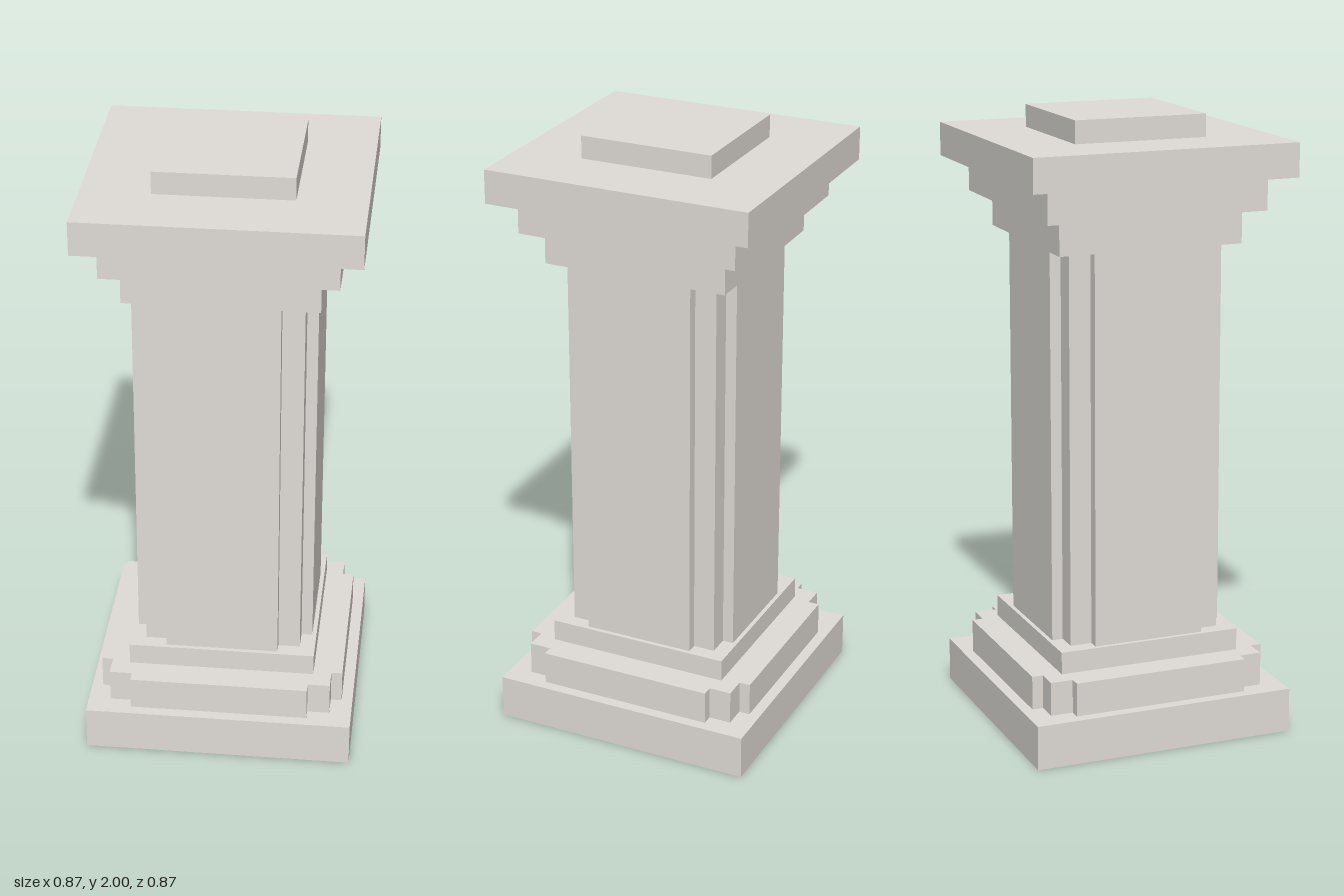
import * as THREE from 'three';

const stone = new THREE.MeshStandardMaterial({ color: 0xe1ddd7 });
stone.name = 'pale warm grey stone';

// Square slab given by half width and bottom / top heights
function slab(name, half, y0, y1) {
  const mesh = new THREE.Mesh(new THREE.BoxGeometry(half * 2, y1 - y0, half * 2), stone);
  mesh.name = name;
  mesh.position.y = (y0 + y1) / 2;
  return mesh;
}

// Square block with a raised panel on each of its four sides
function panelledBlock(name, core, panelHalf, outer, y0, y1) {
  const quarter = [[outer, -panelHalf], [outer, panelHalf], [core, panelHalf], [core, core], [panelHalf, core]];
  const points = [];
  for (let i = 0; i < 4; i++) {
    for (const [x, y] of quarter) {
      points.push(new THREE.Vector2(x, y).rotateAround(new THREE.Vector2(), i * Math.PI / 2));
    }
  }
  const geometry = new THREE.ExtrudeGeometry(new THREE.Shape(points), { depth: y1 - y0, bevelEnabled: false });
  geometry.rotateX(-Math.PI / 2);
  const mesh = new THREE.Mesh(geometry, stone);
  mesh.name = name;
  mesh.position.y = y0;
  return mesh;
}

export function createModel() {
  const pillar = new THREE.Group();
  pillar.name = 'pillar';
  pillar.add(
    // Stepped base
    slab('plinth', 0.436, 0, 0.145),
    panelledBlock('baseStep', 0.364, 0.291, 0.4, 0.145, 0.255),
    slab('baseCollar', 0.305, 0.255, 0.327),
    // Shaft with raised panels
    panelledBlock('shaft', 0.255, 0.184, 0.291, 0.327, 1.6),
    // Stepped capital
    slab('capitalLower', 0.305, 1.6, 1.709),
    slab('capitalMiddle', 0.364, 1.709, 1.818),
    slab('capitalTop', 0.436, 1.818, 1.927),
    slab('topBlock', 0.218, 1.927, 2),
  );
  return pillar;
}
